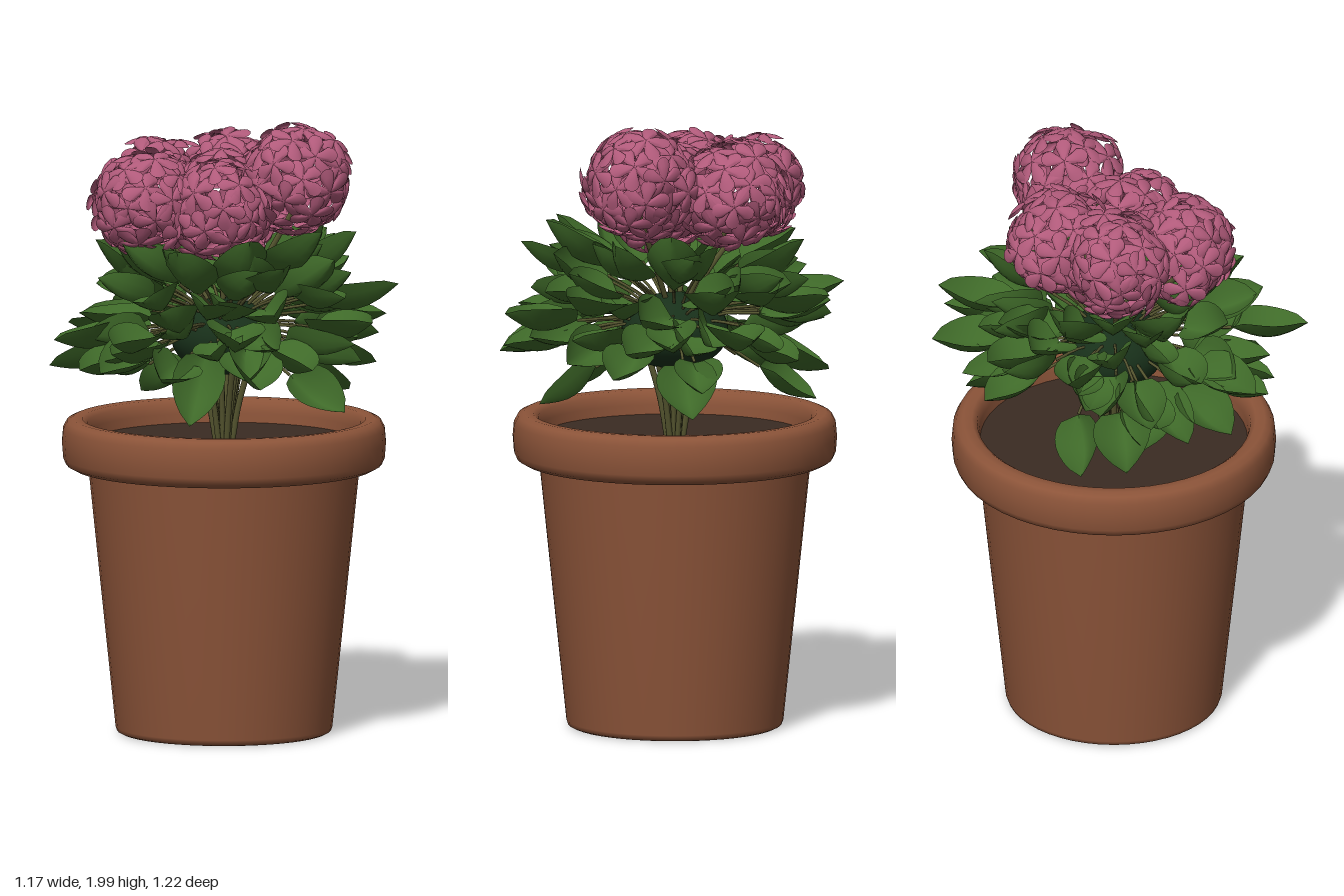
import * as THREE from 'three';
import { mergeGeometries } from 'three/addons/utils/BufferGeometryUtils.js';

const CX = -0.02, CZ = -0.02; // axis of the pot
const mat = (color, side = THREE.FrontSide) => new THREE.MeshStandardMaterial({ color, side, roughness: 0.8 });

let seed = 11;
const rand = (a, b) => {
  seed = (seed * 16807) % 2147483647;
  return a + (b - a) * seed / 2147483647;
};

function part(group, name, geometry, material) {
  const mesh = new THREE.Mesh(geometry, material);
  mesh.name = name;
  group.add(mesh);
}

function lathe(points) {
  return new THREE.LatheGeometry(points.map(p => new THREE.Vector2(p[0], p[1])), 48).translate(CX, 0, CZ);
}

// Pointed leaf along +x from the origin to its tip, hollowed like a small boat
function leafGeometry(length, width) {
  const g = new THREE.PlaneGeometry(1, 2, 8, 6).rotateX(-Math.PI / 2);
  const p = g.attributes.position;
  for (let i = 0; i < p.count; i++) {
    const u = p.getX(i) + 0.5, v = p.getZ(i);
    const half = width / 2 * Math.pow(Math.sin(Math.PI * Math.pow(u, 0.8)), 0.7);
    const fold = half * (0.45 * Math.abs(v) + 0.4 * v * v);
    p.setXYZ(i, u * length, fold - 0.17 * length * Math.sin(Math.PI * u), v * half);
  }
  g.computeVertexNormals();
  return g;
}

// Five-petalled flower facing +y: thin petals with deep gaps, each a little cupped
function flowerGeometry(radius) {
  const g = new THREE.RingGeometry(0.001, 1, 40, 3).rotateX(-Math.PI / 2);
  const p = g.attributes.position;
  for (let i = 0; i < p.count; i++) {
    const x = p.getX(i), z = p.getZ(i), t = Math.hypot(x, z), a = Math.atan2(z, x);
    const lobe = Math.pow(Math.abs(Math.cos(2.5 * a)), 0.5);
    const k = radius * (0.3 + 0.7 * lobe);
    const y = radius * (0.18 * t * lobe - 0.42 * t * t * (0.3 + 0.7 * lobe));
    p.setXYZ(i, x * k, y, z * k);
  }
  g.computeVertexNormals();
  return g;
}

function tube(points, radius) {
  const curve = new THREE.CatmullRomCurve3(points.map(p => new THREE.Vector3(...p)));
  return new THREE.TubeGeometry(curve, 8, radius, 6);
}

export function createModel() {
  const model = new THREE.Group();
  const clay = mat(0x8c5439, THREE.DoubleSide);

  // Tapered pot with a closed base and a thick rolled rim
  part(model, 'potBody', lathe([[0, 0], [0.335, 0], [0.347, 0.006], [0.352, 0.02],
    [0.396, 0.44], [0.44, 0.865], [0.44, 0.9]]), clay);
  part(model, 'potRim', lathe([[0.442, 0.9], [0.452, 0.875], [0.465, 0.867], [0.49, 0.866], [0.512, 0.878],
    [0.522, 0.9], [0.526, 0.95], [0.522, 0.995], [0.51, 1.018], [0.49, 1.027], [0.46, 1.025], [0.443, 1.012],
    [0.436, 0.98], [0.43, 0.9]]), clay);
  part(model, 'soil', new THREE.CylinderGeometry(0.435, 0.425, 0.04, 48).translate(CX, 0.93, CZ), mat(0x3a2b22));

  // Dark dense core of the foliage
  part(model, 'foliageCore', new THREE.SphereGeometry(1, 28, 18).scale(0.175, 0.125, 0.17)
    .translate(CX, 1.295, CZ), mat(0x18301a));

  // Leaves are placed by direction, heading outward at a pitch, each with its leaf stalk
  const leaves = [], stems = [];
  function addLeaf(base, azimuth, pitch, length, width, roll) {
    leaves.push(leafGeometry(length, width).rotateX(rand(-roll, roll)).rotateZ(pitch)
      .rotateY(-azimuth).translate(...base));
    stems.push(tube([[CX, 1.28, CZ], [(base[0] + CX) / 2, (base[1] + 1.3) / 2 + 0.02, (base[2] + CZ) / 2], base], 0.005));
  }

  // Outermost leaves: tip x, tip y, tip z, pitch
  const outer = [
    [0.05, 1.34, 0.61, 0.0], [-0.07, 1.35, -0.61, 0.1], [0.02, 1.5, -0.59, 0.3], [0.2, 1.33, -0.57, -0.1],
    [-0.4, 1.45, -0.43, 0.2], [0.47, 1.48, -0.32, 0.25], [0.585, 1.39, -0.06, 0.15], [0.51, 1.25, 0.15, -0.2],
    [0.45, 1.2, 0.34, -0.4], [-0.35, 1.3, 0.44, -0.1], [-0.44, 1.2, 0.36, -0.3], [-0.585, 1.3, 0.1, -0.1],
    [-0.55, 1.45, -0.17, 0.2], [-0.57, 1.13, 0.02, -0.4], [0.18, 1.06, 0.38, -0.8], [0.1, 1.08, -0.5, -0.5],
    [0.42, 1.68, 0.0, 0.6], [-0.1, 1.22, 0.5, -0.3], [0.38, 1.35, 0.36, 0], [-0.5, 1.2, 0.22, -0.3],
    [0.3, 1.66, 0.22, 0.7], [-0.38, 1.6, 0.2, 0.6], [-0.4, 1.6, -0.2, 0.6], [0.12, 1.66, -0.36, 0.8],
    [0.43, 1.58, 0.2, 0.4], [0.1, 1.62, 0.35, 0.7],
  ];
  for (const [x, y, z, pitch] of outer) {
    const a = Math.atan2(z - CZ, x - CX), len = rand(0.25, 0.3), run = Math.cos(pitch) * len;
    addLeaf([x - run * Math.cos(a), y - Math.sin(pitch) * len, z - run * Math.sin(a)], a, pitch, len, rand(0.16, 0.2), 0.3);
  }

  // Inner tiers: count, base radius, base height, pitch
  const tiers = [[9, 0.28, 1.23, -0.3], [17, 0.27, 1.32, 0], [18, 0.25, 1.4, 0.25], [16, 0.21, 1.46, 0.5]];
  tiers.forEach(([count, radius, y, pitch], tier) => {
    for (let i = 0; i < count; i++) {
      const a = (i + 0.4 * tier) / count * Math.PI * 2 + rand(-0.12, 0.12);
      const r = radius + rand(-0.04, 0.04);
      addLeaf([CX + r * Math.cos(a), y + rand(-0.05, 0.05), CZ + r * Math.sin(a)], a + rand(-0.5, 0.5),
        pitch + rand(-0.25, 0.25), rand(0.2, 0.26), rand(0.14, 0.18), 0.7);
    }
  });
  part(model, 'leaves', mergeGeometries(leaves), mat(0x3f6a29, THREE.DoubleSide));

  // Round flower heads: centre and radius; flowers buried in a neighbouring head are skipped
  const heads = [[0.16, 1.805, -0.16, 0.18], [-0.15, 1.755, -0.19, 0.175], [-0.17, 1.735, 0.195, 0.175],
    [-0.29, 1.745, 0, 0.17], [0.01, 1.725, 0.03, 0.18]];
  const up = new THREE.Vector3(0, 1, 0), count = 38;
  heads.forEach(([x, y, z, r], h) => {
    const flowers = [], centre = new THREE.Vector3(x, y, z);
    for (let i = 0; i < count; i++) {
      const ny = 1 - 1.95 * (i + 0.5) / count, a = i * 2.39996 + h, s = Math.sqrt(1 - ny * ny);
      const n = new THREE.Vector3(s * Math.cos(a), ny, s * Math.sin(a));
      const pos = n.clone().multiplyScalar(r * rand(0.92, 1.06)).add(centre);
      const buried = heads.some((o, k) => k !== h && pos.distanceTo(new THREE.Vector3(o[0], o[1], o[2])) < o[3] * 0.8);
      if (buried) continue;
      const tilt = n.clone().add(new THREE.Vector3(rand(-0.3, 0.3), rand(-0.3, 0.3), rand(-0.3, 0.3))).normalize();
      const q = new THREE.Quaternion().setFromUnitVectors(up, tilt);
      flowers.push(flowerGeometry(rand(0.07, 0.082)).rotateY(rand(0, 6.28)).applyQuaternion(q).translate(pos.x, pos.y, pos.z));
    }
    part(model, 'flowerHead' + (h + 1), mergeGeometries(flowers), mat(0xb05a7a, THREE.DoubleSide));
    // Stalk from the core up into the flower head
    stems.push(tube([[CX, 1.3, CZ], [CX + (x - CX) * 0.4, 1.47, CZ + (z - CZ) * 0.4], [x, y - r * 0.5, z]], 0.009));
  });

  // Bundle of stalks fanning out of the soil
  for (let i = 0; i < 12; i++) {
    const a = i / 12 * Math.PI * 2, c = Math.cos(a), s = Math.sin(a), k = i % 2 ? 1 : 0.6;
    stems.push(tube([[CX + 0.025 * k * c, 0.94, CZ + 0.025 * k * s], [CX + 0.05 * k * c, 1.08, CZ + 0.05 * k * s],
      [CX + 0.1 * k * c, 1.25, CZ + 0.1 * k * s]], 0.01));
  }
  part(model, 'stems', mergeGeometries(stems), mat(0x55552f));

  return model;
}
